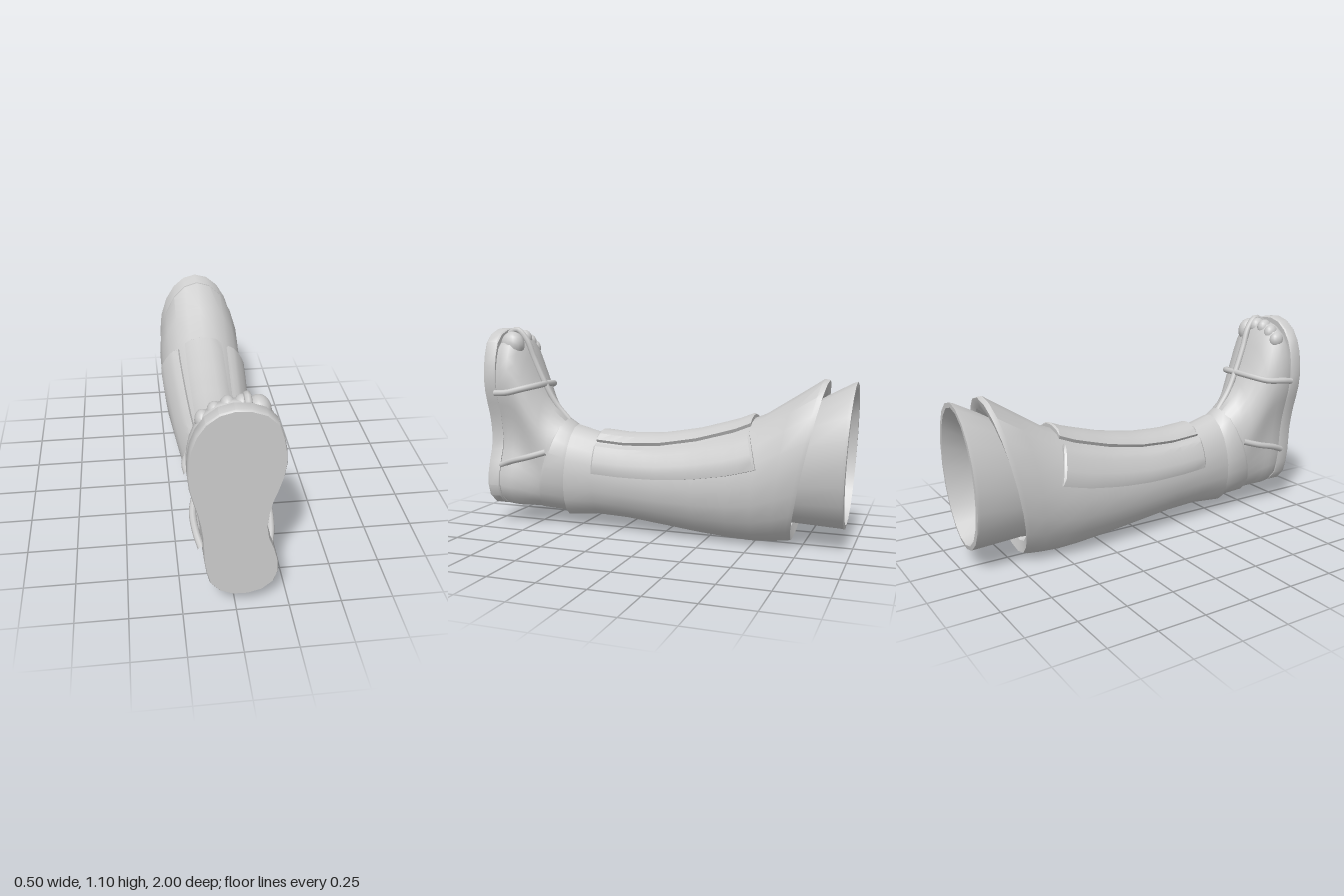
import * as THREE from 'three';
import { toCreasedNormals } from 'three/addons/utils/BufferGeometryUtils.js';

const material = new THREE.MeshStandardMaterial({ color: 0xcccccc });
const V = (x, y, z) => new THREE.Vector3(x, y, z);
const lerp = THREE.MathUtils.lerp;

// Skin over closed rings ordered clockwise (seen from +z), running towards -z
function loft(rings, capStart, capEnd, crease = 0.65) {
  const n = rings[0].length, pos = [], idx = [];
  rings.forEach(r => r.forEach(p => pos.push(p.x, p.y, p.z)));
  for (let i = 0; i < rings.length - 1; i++) {
    for (let j = 0; j < n; j++) {
      const a = i * n + j, b = i * n + (j + 1) % n;
      idx.push(a, b, a + n, b, b + n, a + n);
    }
  }
  const cap = (i, flip) => {
    const c = rings[i].reduce((s, p) => s.add(p), V(0, 0, 0)).divideScalar(n);
    const k = pos.length / 3;
    pos.push(c.x, c.y, c.z);
    for (let j = 0; j < n; j++) {
      const a = i * n + j, b = i * n + (j + 1) % n;
      if (flip) idx.push(k, b, a); else idx.push(k, a, b);
    }
  };
  if (capStart) cap(0, true);
  if (capEnd) cap(rings.length - 1, false);
  const g = new THREE.BufferGeometry();
  g.setAttribute('position', new THREE.Float32BufferAttribute(pos, 3));
  g.setIndex(idx);
  return toCreasedNormals(g, crease);
}

// Tilted oval: [top z, top y, bottom z, bottom y, half width]
function oval([zt, yt, zb, yb, w], n = 20) {
  return Array.from({ length: n }, (_, j) => {
    const a = j / n * Math.PI * 2, t = (1 + Math.cos(a)) / 2;
    return V(w * Math.sin(a), lerp(yb, yt, t), lerp(zb, zt, t));
  });
}

// Sleeve around the lower leg, ankle to knee, with a lip at each end
const SHIN = [
  [0.51, 0.53, 0.55, 0.09, 0.13], [0.52, 0.568, 0.565, 0.05, 0.157],
  [0.37, 0.525, 0.38, 0.068, 0.16], [0.2, 0.51, 0.2, 0.062, 0.175],
  [0, 0.52, 0, 0.042, 0.195], [-0.2, 0.555, -0.2, 0.02, 0.213],
  [-0.4, 0.61, -0.38, 0.005, 0.232], [-0.55, 0.67, -0.5, 0, 0.24],
  [-0.7, 0.765, -0.6, 0.005, 0.242], [-0.84, 0.855, -0.67, 0.012, 0.243],
  [-0.865, 0.85, -0.69, 0.02, 0.238], [-0.85, 0.8, -0.68, 0.08, 0.205],
  [-0.76, 0.72, -0.6, 0.1, 0.2],
];

// Hollow cuff at the knee: outer wall, rim, stepped inner wall
const CUFF = [
  [-0.7, 0.68, -0.6, 0.1, 0.2], [-0.86, 0.775, -0.7, 0.112, 0.222],
  [-0.98, 0.838, -0.95, 0.1, 0.23], [-1, 0.845, -0.96, 0.097, 0.228],
  [-0.998, 0.82, -0.965, 0.12, 0.208], [-0.9, 0.745, -0.85, 0.15, 0.19],
  [-0.86, 0.73, -0.8, 0.16, 0.19], [-0.85, 0.69, -0.79, 0.19, 0.165],
  [-0.68, 0.63, -0.65, 0.19, 0.165], [-0.4, 0.52, -0.4, 0.15, 0.15],
];

// Slanted band between foot and sleeve
const BAND = [
  [0.575, 0.57, 0.73, 0.12, 0.13], [0.6, 0.593, 0.745, 0.087, 0.156],
  [0.582, 0.602, 0.73, 0.08, 0.165], [0.54, 0.575, 0.58, 0.072, 0.158],
  [0.5, 0.53, 0.55, 0.08, 0.14],
];

// Sole outline, clockwise from the toe end
const OUTLINE = new THREE.CatmullRomCurve3([
  [-0.02, 1.1], [0.08, 1.085], [0.15, 1.04], [0.187, 0.95], [0.202, 0.81],
  [0.18, 0.71], [0.145, 0.6], [0.132, 0.46], [0.165, 0.36], [0.187, 0.27],
  [0.183, 0.19], [0.14, 0.13], [0.06, 0.098], [-0.03, 0.103], [-0.11, 0.155],
  [-0.145, 0.28], [-0.155, 0.45], [-0.172, 0.56], [-0.2, 0.67], [-0.217, 0.76],
  [-0.2, 0.93], [-0.15, 1.03], [-0.09, 1.08],
].map(([x, y]) => V(x, y, 0)), true).getSpacedPoints(36).slice(0, 36);

// Outline squeezed to [y0, y1] and blended by k into an oval of half width w
function footRing([z, y0, y1, sx, k, w]) {
  return OUTLINE.map(p => {
    const t = THREE.MathUtils.clamp((p.y - 0.097) / 1.003, 0, 1);
    const round = Math.sign(p.x) * w * Math.sqrt(Math.max(0, 1 - (2 * t - 1) ** 2));
    return V(lerp(p.x * sx, round, k), lerp(y0, y1, t), z);
  });
}

// Point on the sleeve surface at depth z and angle a from the top, raised by h
function shinPoint(z, a, h) {
  let i = 1;
  while (i < 7 && SHIN[i + 1][0] > z) i++;
  const A = SHIN[i], B = SHIN[i + 1], t = (z - A[0]) / (B[0] - A[0]);
  const yt = lerp(A[1], B[1], t), yb = lerp(A[3], B[3], t), w = lerp(A[4], B[4], t);
  return V((w + h) * Math.sin(a), (yt + yb) / 2 + ((yt - yb) / 2 + h) * Math.cos(a), z);
}

// Raised plate following the sleeve; angle limits in degrees at ankle and knee end
function plate(front, back, zEnd, slant) {
  const rings = [], steps = 12, m = 6, low = -0.015;
  const ring = (u, thick) => {
    const a0 = lerp(front[0], back[0], u), a1 = lerp(front[1], back[1], u), pts = [];
    const point = (s, h) => {
      const a = THREE.MathUtils.degToRad(lerp(a0, a1, s));
      const drop = slant * Math.max(0, Math.abs(a) - 0.6) * u;
      return shinPoint(lerp(0.37, zEnd, u) - drop, a, h);
    };
    for (let j = 0; j <= m; j++) {
      const edge = j === 0 || j === m;
      pts.push(point(j / m, edge ? Math.min(thick, 0.016) : thick));
    }
    for (let j = m; j >= 0; j--) pts.push(point(j / m, low));
    return pts;
  };
  rings.push(ring(0, low), ring(0, 0.018));
  for (let i = 0; i <= steps; i++) rings.push(ring(0.012 + 0.976 * i / steps, 0.027));
  rings.push(ring(1, 0.018), ring(1, low));
  return loft(rings, false, false, 0.5);
}

export function createModel() {
  const group = new THREE.Group();
  const add = (name, geometry) => {
    const mesh = new THREE.Mesh(geometry, material);
    mesh.name = name;
    group.add(mesh);
    return mesh;
  };
  const strap = (name, pts, r = 0.017) => {
    const path = new THREE.CatmullRomCurve3(pts.map(p => V(...p)));
    add(name, new THREE.TubeGeometry(path, 32, r, 8));
  };

  // Sole
  add('sole', loft([
    [1, 0.103, 1.094, 0.98, 0, 0], [0.992, 0.097, 1.1, 1, 0, 0],
    [0.938, 0.097, 1.1, 1, 0, 0], [0.93, 0.103, 1.094, 0.98, 0, 0],
  ].map(footRing), true, true));

  // Foot, narrowing from the sole to the ankle
  add('foot', loft([
    [0.935, 0.11, 1.06, 0.94, 0, 0.2], [0.9, 0.095, 1.082, 1, 0.05, 0.2],
    [0.86, 0.09, 1.075, 1, 0.1, 0.2], [0.825, 0.09, 1.03, 0.97, 0.2, 0.19],
    [0.79, 0.09, 0.95, 0.92, 0.35, 0.185], [0.75, 0.09, 0.85, 0.88, 0.5, 0.175],
    [0.7, 0.09, 0.735, 0.82, 0.75, 0.16], [0.65, 0.1, 0.665, 0.8, 1, 0.15],
    [0.58, 0.12, 0.6, 0.8, 1, 0.14],
  ].map(footRing), true, true, 0.9));

  // Toes: x, y, radius
  [[0.095, 1.01, 0.055], [0.025, 1.042, 0.038], [-0.035, 1.042, 0.036],
    [-0.09, 1.02, 0.034], [-0.14, 0.985, 0.034]].forEach(([x, y, r]) => {
    const toe = add('toe', new THREE.SphereGeometry(r, 14, 10));
    toe.scale.set(1, 1.3, 1.25);
    toe.position.set(x, y, 0.872);
  });

  // Foot straps
  strap('centreStrap', [[0.045, 1.07, 0.92], [0.045, 1.09, 0.87], [0.04, 1.035, 0.815],
    [0.03, 0.93, 0.775], [0.02, 0.79, 0.715], [0.01, 0.68, 0.655], [0, 0.59, 0.58]]);
  strap('crossStrap', [[-0.21, 0.755, 0.935], [-0.215, 0.765, 0.87], [-0.185, 0.77, 0.785],
    [-0.11, 0.785, 0.73], [0, 0.79, 0.715], [0.11, 0.785, 0.725], [0.175, 0.77, 0.78],
    [0.198, 0.75, 0.86], [0.196, 0.745, 0.935]]);
  [1, -1].forEach(s => strap(s > 0 ? 'leftHeelStrap' : 'rightHeelStrap', [
    [s * 0.155, 0.335, 0.935], [s * 0.172, 0.365, 0.86],
    [s * 0.178, 0.395, 0.75], [s * 0.155, 0.425, 0.65]]));

  // Ankle, lower leg and knee
  add('ankleBand', loft(BAND.map(r => oval(r)), true, true));
  add('shinSleeve', loft(SHIN.map(r => oval(r)), true, false));
  add('kneeCuff', loft(CUFF.map(r => oval(r)), false, true));

  // Shin plates
  add('centreShinPlate', plate([-33, 33], [-25, 25], -0.49, 0));
  add('leftShinPlate', plate([39, 83], [36, 76], -0.49, 0.08));
  add('rightShinPlate', plate([-83, -39], [-76, -36], -0.49, 0.08));
  return group;
}
